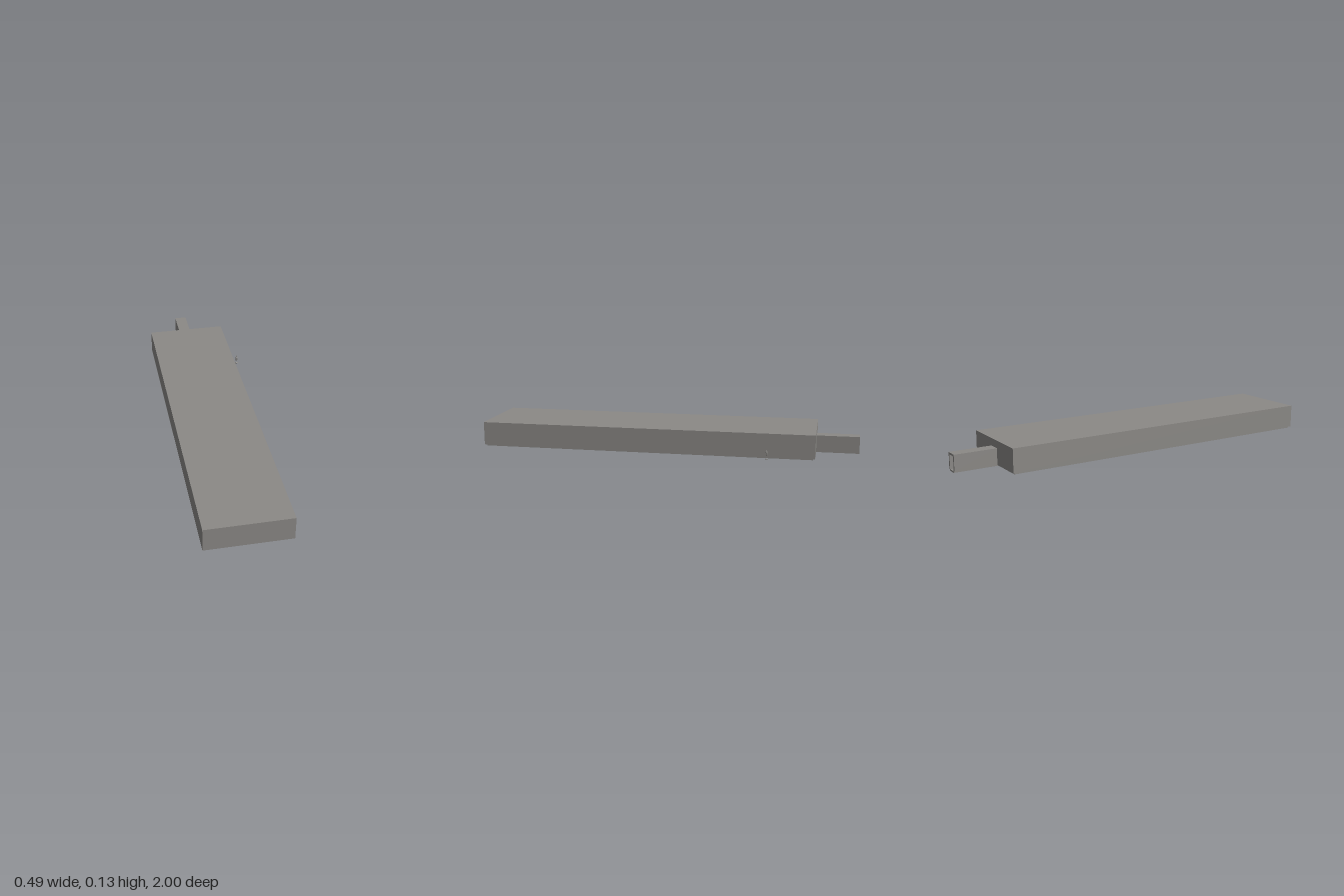
import * as THREE from 'three';

const T = 0.01;        // wall thickness
const FLOOR = 0.008;   // floor slab height
const hall = { x0: -0.245, x1: 0.184, z0: -0.777, z1: 1, top: 0.131 };
const tunnel = { x0: -0.065, x1: 0.0, z0: -1, z1: -0.777, top: 0.092 };

export function createModel() {
  const model = new THREE.Group();
  const concrete = new THREE.MeshStandardMaterial({ color: 0x8b8986 });
  concrete.name = 'concreteGrey';

  function add(parent, name, geometry) {
    const mesh = new THREE.Mesh(geometry, concrete);
    mesh.name = name;
    parent.add(mesh);
    return mesh;
  }

  // Box given by its two opposite corners
  function block(parent, name, x0, x1, y0, y1, z0, z1) {
    const mesh = add(parent, name, new THREE.BoxGeometry(x1 - x0, y1 - y0, z1 - z0));
    mesh.position.set((x0 + x1) / 2, (y0 + y1) / 2, (z0 + z1) / 2);
  }

  // Arch-shaped wall section: a rectangle with a square notch open at the bottom
  function portal(parent, name, outer, inner, z0, z1) {
    const s = new THREE.Shape();
    s.moveTo(outer.x0, FLOOR);
    s.lineTo(inner.x0, FLOOR);
    s.lineTo(inner.x0, inner.top);
    s.lineTo(inner.x1, inner.top);
    s.lineTo(inner.x1, FLOOR);
    s.lineTo(outer.x1, FLOOR);
    s.lineTo(outer.x1, outer.top);
    s.lineTo(outer.x0, outer.top);
    const g = new THREE.ExtrudeGeometry(s, { depth: z1 - z0, bevelEnabled: false });
    add(parent, name, g).position.z = z0;
  }
  const inset = (r) => ({ x0: r.x0 + T, x1: r.x1 - T, top: r.top - T });

  // Long hall: hollow shell, closed front, back wall with a doorway
  const building = new THREE.Group();
  building.name = 'hall';
  const room = inset(hall), door = inset(tunnel);
  portal(building, 'hallWallsAndRoof', hall, room, hall.z0 + T, hall.z1 - T);
  block(building, 'hallFrontWall', hall.x0, hall.x1, FLOOR, hall.top, hall.z1 - T, hall.z1);
  portal(building, 'hallBackWall', hall, door, hall.z0, hall.z0 + T);
  block(building, 'hallFloor', room.x0, room.x1, 0, FLOOR, hall.z0 + T, hall.z1 - T);
  model.add(building);

  // Entrance corridor, open at its far end
  const corridor = new THREE.Group();
  corridor.name = 'corridor';
  portal(corridor, 'corridorWallsAndRoof', tunnel, door, tunnel.z0, tunnel.z1);
  block(corridor, 'corridorFloor', door.x0, door.x1, 0, FLOOR, tunnel.z0, hall.z0 + T);
  model.add(corridor);

  // Slender standing figure beside the hall: base, post, torso and head in one profile
  const profile = [
    [0, 0], [0.009, 0], [0.009, 0.003], [0.003, 0.005], [0.001, 0.007],
    [0.001, 0.019], [0.005, 0.019], [0.005, 0.025], [0.008, 0.037],
    [0.007, 0.040], [0.002, 0.042], [0.002, 0.044], [0.003, 0.046],
    [0.003, 0.049], [0, 0.051],
  ].map(([r, y]) => new THREE.Vector2(r, y));
  const figure = add(model, 'standingFigure', new THREE.LatheGeometry(profile, 16));
  figure.scale.z = 0.6;
  figure.position.set(0.234, FLOOR, -0.535);

  return model;
}
